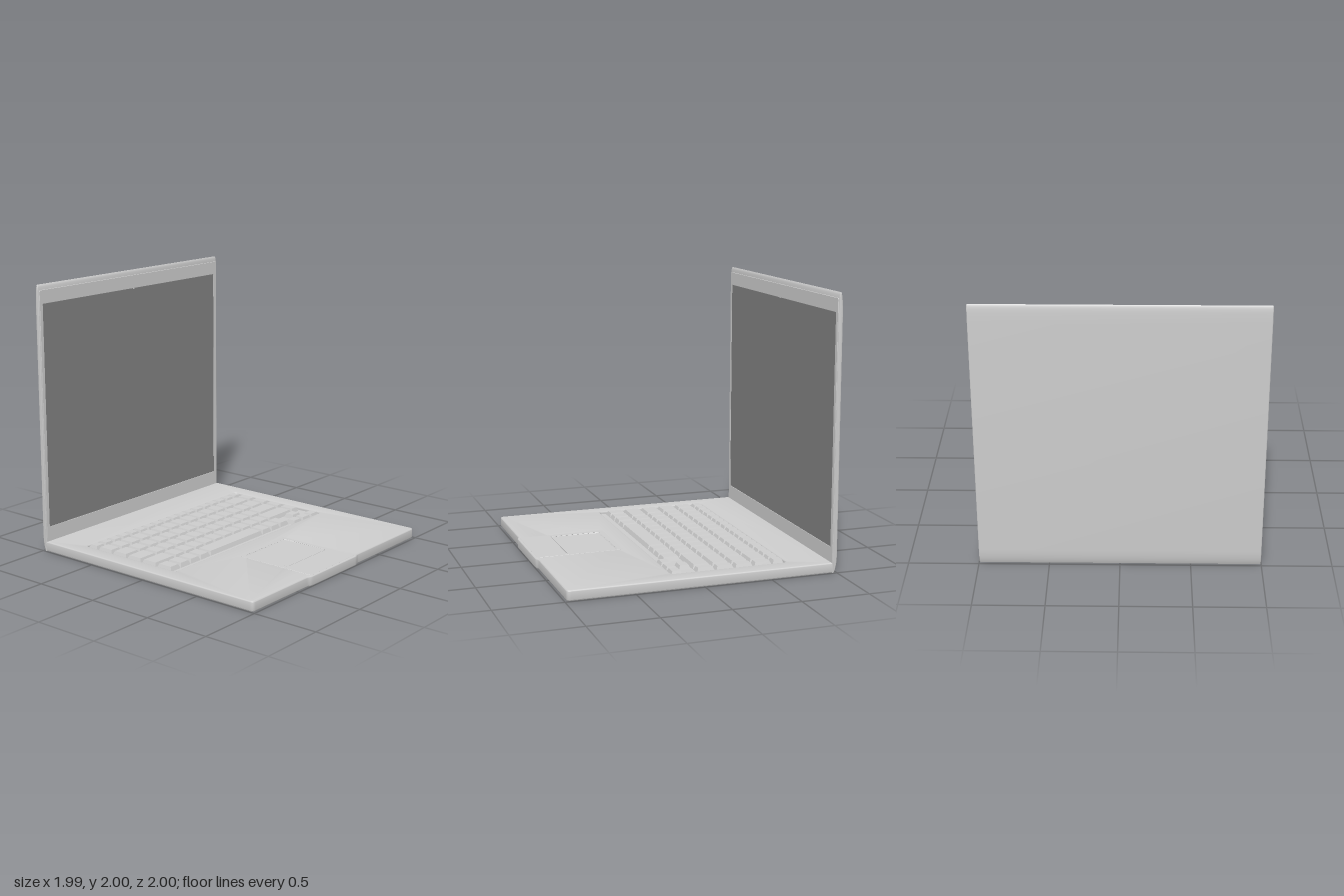
import * as THREE from 'three';
import { mergeGeometries, toCreasedNormals } from 'three/addons/utils/BufferGeometryUtils.js';

const grey = new THREE.MeshStandardMaterial({ color: 0xcccccc });
const dark = new THREE.MeshStandardMaterial({ color: 0x808080 });

const TOP = 0.076;   // height of the palm rest
const FLOOR = 0.055; // bottom of the keyboard well

function mesh(name, geometry, material = grey) {
  const m = new THREE.Mesh(geometry, material);
  m.name = name;
  return m;
}

// Box given by its limits on each axis
function boxBetween(x0, x1, y0, y1, z0, z1) {
  return new THREE.BoxGeometry(x1 - x0, y1 - y0, z1 - z0)
    .translate((x0 + x1) / 2, (y0 + y1) / 2, (z0 + z1) / 2);
}

// Rounded rectangle, drawn into a Shape or a Path
function roundRect(path, x0, x1, y0, y1, r) {
  path.moveTo(x0 + r, y0);
  path.lineTo(x1 - r, y0);
  path.quadraticCurveTo(x1, y0, x1, y0 + r);
  path.lineTo(x1, y1 - r);
  path.quadraticCurveTo(x1, y1, x1 - r, y1);
  path.lineTo(x0 + r, y1);
  path.quadraticCurveTo(x0, y1, x0, y1 - r);
  path.lineTo(x0, y0 + r);
  path.quadraticCurveTo(x0, y0, x0 + r, y0);
  return path;
}

// Extrusion whose bevels stay inside the drawn outline and the given height
function extrude(shape, height, bevel, segments = 3) {
  const g = new THREE.ExtrudeGeometry(shape, {
    depth: height - 2 * bevel, bevelEnabled: bevel > 0, bevelSize: bevel,
    bevelThickness: bevel, bevelOffset: -bevel, bevelSegments: segments, curveSegments: 6,
  }).translate(0, 0, bevel);
  return toCreasedNormals(g, 0.6);
}

// Plan shapes use (x, -z); this lays them flat with the extrusion pointing up
const layFlat = (g, y) => g.rotateX(-Math.PI / 2).translate(0, y, 0);

// Key with sloping sides
function keyCap(x0, x1, z0, z1) {
  const gap = 0.003, inset = 0.013, top = 0.086;
  const w = x1 - x0 - 2 * gap, d = z1 - z0 - 2 * gap, h = top - FLOOR;
  const g = new THREE.BoxGeometry(w, h, d);
  const p = g.attributes.position;
  for (let i = 0; i < p.count; i++) {
    if (p.getY(i) > 0) {
      p.setX(i, p.getX(i) * (1 - 2 * inset / w));
      p.setZ(i, p.getZ(i) * (1 - 2 * inset / d));
    }
  }
  g.translate((x0 + x1) / 2, FLOOR + h / 2, (z0 + z1) / 2);
  g.computeVertexNormals();
  return g;
}

function createBase() {
  const base = new THREE.Group();
  base.name = 'base';

  // Body outline with a slight tab at the front, holes for keyboard and touchpad
  const s = new THREE.Shape();
  const X = 0.995, F = -0.985, B = 0.968, r = 0.03;
  s.moveTo(-X + r, F);
  s.lineTo(-0.4, F);
  s.bezierCurveTo(-0.36, F, -0.37, -1, -0.33, -1);
  s.lineTo(0.18, -1);
  s.bezierCurveTo(0.22, -1, 0.21, F, 0.25, F);
  s.lineTo(X - r, F);
  s.quadraticCurveTo(X, F, X, F + r);
  s.lineTo(X, B);
  s.lineTo(-X, B);
  s.lineTo(-X, F + r);
  s.quadraticCurveTo(-X, F, -X + r, F);
  s.holes.push(roundRect(new THREE.Path(), -0.877, 0.867, -0.2, 0.667, 0.03));
  s.holes.push(roundRect(new THREE.Path(), -0.3, 0.16, -0.75, -0.38, 0.015));
  base.add(mesh('body', layFlat(extrude(s, TOP, 0.01), 0)));

  // Floors that close the two openings
  base.add(mesh('keyboardWell', boxBetween(-0.895, 0.885, 0, FLOOR, -0.685, 0.218)));
  base.add(mesh('touchpadWell', boxBetween(-0.315, 0.175, 0, 0.06, 0.365, 0.765)));

  // Touchpad surface, rising a little towards the front
  const pad = boxBetween(-0.23, 0.23, -0.01, 0, -0.185, 0.185).rotateX(-0.012);
  base.add(mesh('touchpad', pad.translate(-0.07, 0.0735, 0.565)));

  // Low raised panel around the touchpad
  const panel = roundRect(new THREE.Shape(), -0.345, 0.195, -0.985, -0.335, 0.015);
  panel.holes.push(roundRect(new THREE.Path(), -0.305, 0.165, -0.755, -0.375, 0.015));
  base.add(mesh('touchpadSurround', layFlat(extrude(panel, 0.004, 0.0018, 1), TOP - 0.002)));
  return base;
}

function createKeyboard() {
  const keyboard = new THREE.Group();
  keyboard.name = 'keyboard';
  const left = -0.865, right = 0.757, pitch = 0.111, rowPitch = 0.144, keyDepth = 0.14;
  const run = (keys, x, n, step, z0, z1) => {
    for (let i = 0; i < n; i++) keys.push(keyCap(x + i * step, x + (i + 1) * step, z0, z1));
    return x + n * step;
  };
  const addRow = (name, keys) => keyboard.add(mesh(name, mergeGeometries(keys)));

  // Small function keys
  const functionKeys = [];
  run(functionKeys, left, 18, 0.0947, -0.664, -0.571);
  addRow('functionKeys', functionKeys);

  // Main rows: wide first key, a run of letters, wide last key, narrow end key
  [[0.111, 12], [0.152, 12], [0.178, 11], [0.222, 10]].forEach(([first, n], i) => {
    const keys = [], z0 = -0.567 + i * rowPitch, z1 = z0 + keyDepth;
    let x = run(keys, left, 1, first, z0, z1);
    x = run(keys, x, n, pitch, z0, z1);
    run(keys, x, 1, right - x, z0, z1);
    run(keys, right + 0.003, 1, 0.086, z0, z1);
    addRow('keyRow' + (i + 1), keys);
  });

  // Space bar row
  const bottom = [], z0 = 0.009, z1 = z0 + keyDepth;
  run(bottom, left, 4, 0.11, z0, z1);
  run(bottom, -0.425, 1, 0.62, z0, z1);
  run(bottom, 0.195, 3, 0.11, z0, z1);
  addRow('spaceBarRow', bottom);

  // Arrow keys
  const arrows = [];
  run(arrows, 0.638, 1, 0.11, 0.009, 0.105);
  run(arrows, 0.528, 3, 0.11, 0.108, 0.202);
  addRow('arrowKeys', arrows);
  return keyboard;
}

function createLid() {
  const lid = new THREE.Group();
  lid.name = 'lid';

  // Side profile (z, y): back leans in near the top and bottom
  const profile = new THREE.Shape();
  profile.moveTo(-0.968, 0);
  profile.lineTo(-0.97, 1.95);
  profile.quadraticCurveTo(-0.973, 1.995, -0.983, 2);
  profile.quadraticCurveTo(-0.993, 1.99, -0.996, 1.94);
  profile.lineTo(-1, 1.87);
  profile.lineTo(-1, 0.12);
  profile.quadraticCurveTo(-0.998, 0.04, -0.978, 0);
  const shell = extrude(profile, 1.994, 0.006, 3);
  lid.add(mesh('lidShell', shell.rotateY(-Math.PI / 2).translate(0.997, 0, 0)));

  // Bezel around the screen
  const frame = roundRect(new THREE.Shape(), -0.988, 0.988, 0.05, 1.96, 0.015);
  frame.holes.push(roundRect(new THREE.Path(), -0.958, 0.954, 0.185, 1.858, 0.004));
  lid.add(mesh('bezel', extrude(frame, 0.007, 0.002, 1).translate(0, 0, -0.972)));

  // Screen panel and the small catch above it
  lid.add(mesh('screen', boxBetween(-0.96, 0.956, 0.183, 1.86, -0.975, -0.967), dark));
  lid.add(mesh('catch', boxBetween(-0.008, 0.008, 1.853, 1.862, -0.97, -0.964)));
  return lid;
}

export function createModel() {
  const model = new THREE.Group();
  model.name = 'laptop';
  model.add(createBase(), createKeyboard(), createLid());
  return model;
}
